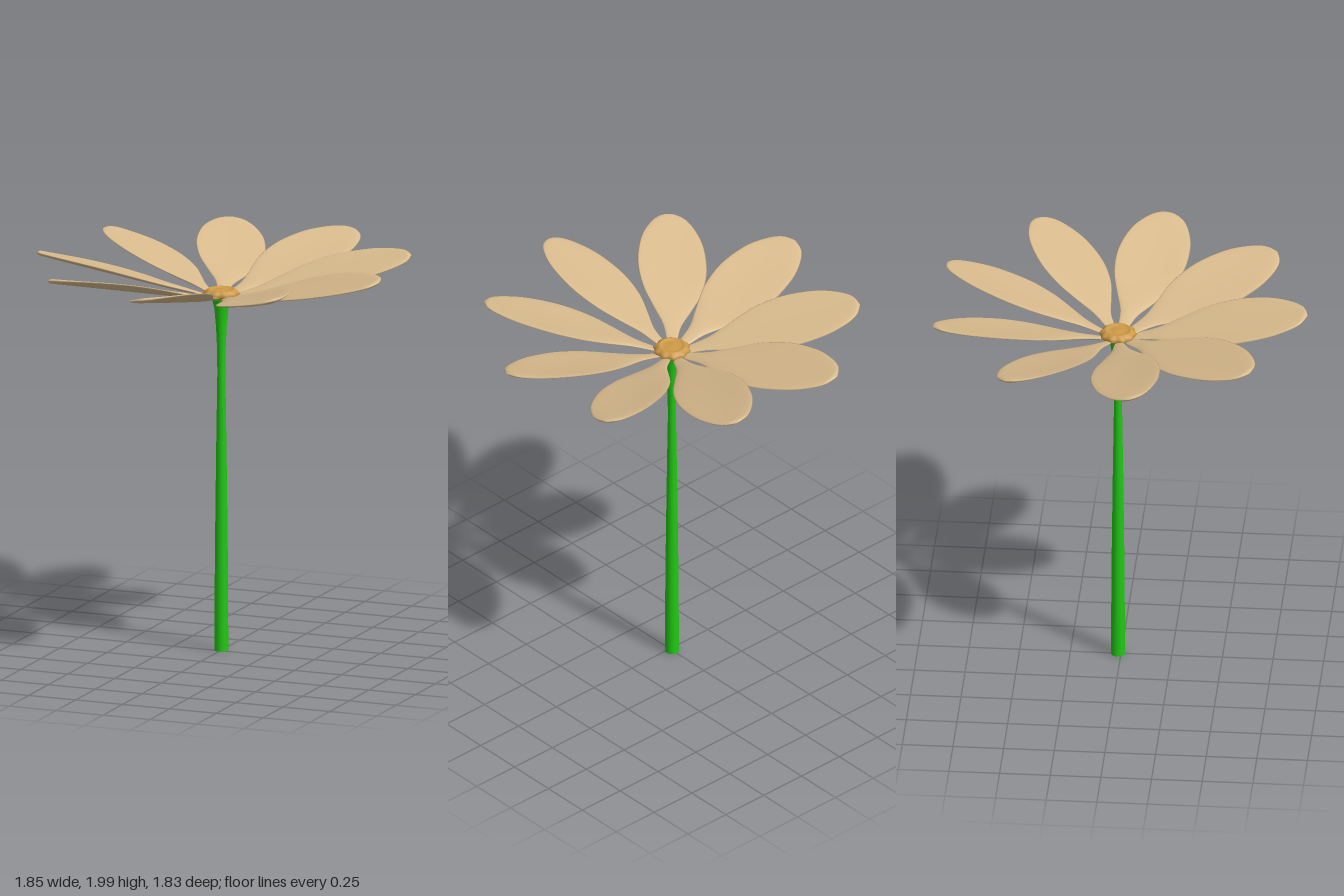
import * as THREE from 'three';
import { mergeVertices } from 'three/addons/utils/BufferGeometryUtils.js';

const v2 = (points) => points.map(([x, y]) => new THREE.Vector2(x, y));

// Recompute smooth normals without a seam
function smooth(geometry) {
  geometry.deleteAttribute('uv');
  geometry.deleteAttribute('normal');
  const merged = mergeVertices(geometry, 1e-5);
  merged.computeVertexNormals();
  return merged;
}

// Half width of a petal against distance from the flower's axis
const petalOutline = new THREE.SplineCurve(v2([
  [0, 0.05], [0.022, 0.08], [0.045, 0.19], [0.095, 0.3], [0.145, 0.42],
  [0.17, 0.57], [0.155, 0.73], [0.115, 0.84], [0.065, 0.91], [0, 0.94],
]));

// A sphere stretched along the outline into a thin, rising, slightly rolled blade
function petalGeometry(rise) {
  const geometry = new THREE.SphereGeometry(1, 24, 36);
  const pos = geometry.attributes.position;
  for (let i = 0; i < pos.count; i++) {
    const theta = Math.acos(THREE.MathUtils.clamp(pos.getY(i), -1, 1));
    const ring = Math.max(Math.sin(theta), 1e-6);
    const { x: halfWidth, y: r } = petalOutline.getPoint(theta / Math.PI);
    const width = Math.max(halfWidth, 0);
    const x = width * pos.getX(i) / ring;
    const thickness = 0.012 * Math.min(1, width / 0.05);
    const y = 1.775 + rise * r + 0.2 * x + 0.5 * x * x + thickness * pos.getZ(i) / ring;
    pos.setXYZ(i, x, y, r);
  }
  return smooth(geometry);
}

// Domed disc with a shallow dip on top and a scalloped rim
function centreGeometry() {
  const geometry = new THREE.LatheGeometry(v2([
    [0, 1.775], [0.05, 1.778], [0.08, 1.79], [0.09, 1.802], [0.082, 1.815],
    [0.066, 1.826], [0.058, 1.826], [0.05, 1.818], [0.03, 1.822], [0, 1.825],
  ]), 60);
  const pos = geometry.attributes.position;
  for (let i = 0; i < pos.count; i++) {
    const x = pos.getX(i), z = pos.getZ(i);
    const r = Math.hypot(x, z);
    const scallop = r > 0.075 ? 1 + 0.05 * Math.cos(10 * Math.atan2(x, z)) : 1;
    pos.setX(i, x * scallop);
    pos.setZ(i, z * scallop);
  }
  return smooth(geometry);
}

export function createModel() {
  const model = new THREE.Group();
  model.name = 'flower';
  const add = (parent, name, geometry, color) => {
    const mesh = new THREE.Mesh(geometry, new THREE.MeshStandardMaterial({ color }));
    mesh.name = name;
    parent.add(mesh);
    return mesh;
  };

  // Tapered stem, flaring under the petals
  const stemProfile = v2([
    [0.035, 0], [0.032, 0.5], [0.026, 1], [0.02, 1.4], [0.021, 1.52],
    [0.027, 1.64], [0.035, 1.73], [0.045, 1.77], [0.05, 1.785], [0, 1.79],
  ]);
  add(model, 'stem', new THREE.LatheGeometry(stemProfile, 24), 0x20c814);
  const base = add(model, 'stemBase', new THREE.CircleGeometry(0.035, 24), 0x20c814);
  base.rotation.x = Math.PI / 2;

  add(model, 'flowerCentre', centreGeometry(), 0xcd9a48);

  // Nine petals, evenly spaced
  const petals = new THREE.Group();
  petals.name = 'petals';
  model.add(petals);
  for (let i = 0; i < 9; i++) {
    const angle = THREE.MathUtils.degToRad(-2 + 40 * i);
    const petal = add(petals, 'petal', petalGeometry(0.205 + 0.012 * Math.sin(angle)), 0xd8ba8c);
    petal.rotation.y = angle;
  }

  model.position.z = -0.015;
  return model;
}
